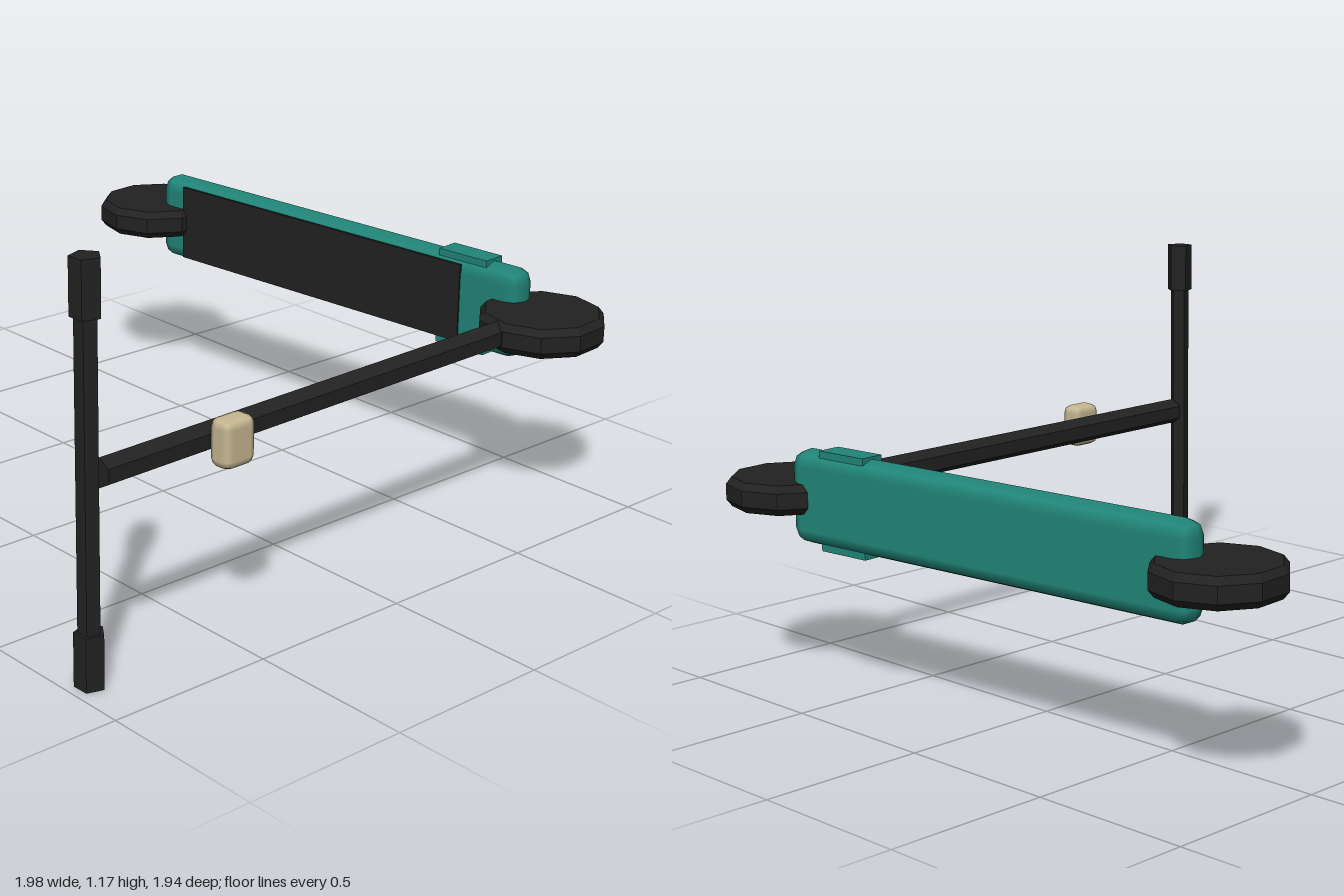
import * as THREE from 'three';
import { RoundedBoxGeometry } from 'three/addons/geometries/RoundedBoxGeometry.js';

const MID = 0.583; // height of the scooter's centre plane; it lies on its side
const DECK_TURN = 0.083;
const STEM_TURN = 0.027;

function faceted(geometry) {
  const g = geometry.toNonIndexed();
  g.computeVertexNormals();
  return g;
}

export function createModel() {
  const model = new THREE.Group();
  const material = (name, color) => {
    const m = new THREE.MeshStandardMaterial({ color });
    m.name = name;
    return m;
  };
  const teal = material('teal', 0x218679);
  const black = material('black', 0x222222);
  const cream = material('cream', 0xc8b993);

  const add = (parent, name, geometry, mat, x, y, z, turn = 0) => {
    const mesh = new THREE.Mesh(geometry, mat);
    mesh.name = name;
    mesh.position.set(x, y, z);
    mesh.rotation.y = turn;
    parent.add(mesh);
    return mesh;
  };

  // Deck with its grip plate and collar, turned together
  const deck = new THREE.Group();
  deck.name = 'deck';
  deck.position.set(-0.022, MID + 0.003, -0.742);
  deck.rotation.y = DECK_TURN;
  model.add(deck);
  add(deck, 'deckBody', new RoundedBoxGeometry(1.49, 0.284, 0.106, 1, 0.048), teal, 0, 0, 0);
  add(deck, 'gripPlate', new THREE.BoxGeometry(1.17, 0.245, 0.009), black, -0.046, 0, 0.053);
  add(deck, 'collar', new THREE.BoxGeometry(0.18, 0.3, 0.076), teal, 0.533, 0, 0);

  // Ten-sided wheels with bevelled rims
  const profile = [[0, -0.045], [0.173, -0.045], [0.19, -0.024], [0.19, 0.024], [0.173, 0.045], [0, 0.045]]
    .map(([r, y]) => new THREE.Vector2(r, y));
  const wheel = faceted(new THREE.LatheGeometry(profile, 10));
  add(model, 'rearWheel', wheel, black, -0.812, MID + 0.002, -0.655, DECK_TURN);
  add(model, 'frontWheel', wheel, black, 0.803, MID + 0.002, -0.782, DECK_TURN);

  // Six-sided stem along z
  const stem = faceted(new THREE.CylinderGeometry(0.042, 0.042, 1.68, 6).rotateX(Math.PI / 2));
  add(model, 'stem', stem, black, 0.796, MID + 0.002, 0.06, STEM_TURN);

  // Lamp on the side of the stem
  add(model, 'lamp', new RoundedBoxGeometry(0.076, 0.14, 0.11, 1, 0.026), cream, 0.876, MID + 0.003, 0.505, STEM_TURN);

  // Five-sided handlebar and its two grips
  const bar = faceted(new THREE.CylinderGeometry(0.032, 0.032, 1.1, 5));
  add(model, 'handlebar', bar, black, 0.82, MID, 0.937, Math.PI + STEM_TURN);
  const grip = faceted(new THREE.CylinderGeometry(0.043, 0.043, 0.156, 5));
  for (const side of [-1, 1]) {
    add(model, side > 0 ? 'upperGrip' : 'lowerGrip', grip, black,
      0.82, MID + side * (MID - 0.078), 0.937, Math.PI + STEM_TURN);
  }

  return model;
}
